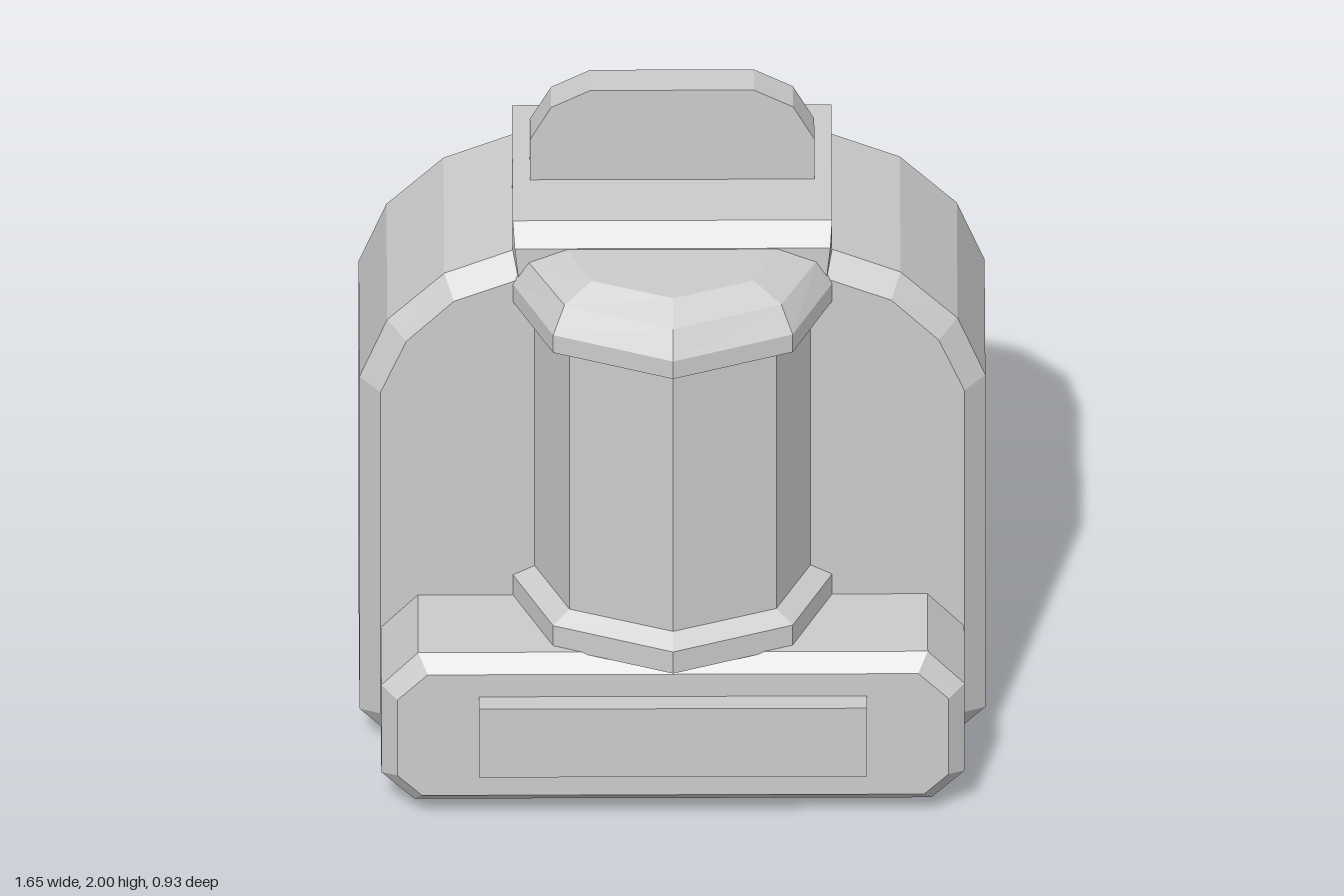
import * as THREE from 'three';

const material = new THREE.MeshStandardMaterial({ color: 0xcccccc, flatShading: true });

function add(group, name, geometry) {
  const mesh = new THREE.Mesh(geometry, material);
  mesh.name = name;
  group.add(mesh);
  return mesh;
}

// Right half of an outline, bottom to top, mirrored into a closed loop
function mirror(half) {
  return [...half, ...half.map(([x, y]) => [-x, y]).reverse()];
}

// Joins counter-clockwise cross-sections [z, points] along z and caps both ends
function loft(sections) {
  const pos = [];
  const put = (z, p) => pos.push(p[0], p[1], z);
  for (let s = 0; s < sections.length - 1; s++) {
    const [z0, a] = sections[s];
    const [z1, b] = sections[s + 1];
    for (let i = 0; i < a.length; i++) {
      const j = (i + 1) % a.length;
      put(z0, a[i]); put(z0, a[j]); put(z1, b[j]);
      put(z0, a[i]); put(z1, b[j]); put(z1, b[i]);
    }
  }
  const cap = ([z, pts], flip) => {
    const contour = pts.map(([x, y]) => new THREE.Vector2(x, y));
    for (const [a, b, c] of THREE.ShapeUtils.triangulateShape(contour, [])) {
      for (const k of flip ? [a, c, b] : [a, b, c]) put(z, pts[k]);
    }
  };
  cap(sections[0], true);
  cap(sections[sections.length - 1], false);
  const geometry = new THREE.BufferGeometry();
  geometry.setAttribute('position', new THREE.Float32BufferAttribute(pos, 3));
  geometry.computeVertexNormals();
  return geometry;
}

// Faceted half-round section: side x, then corner and nose points towards the front
function halfRound(side, cornerX, cornerZ, noseZ) {
  const back = -0.105;
  return [[-side, back], [-cornerX, -cornerZ], [0, -noseZ], [cornerX, -cornerZ], [side, back]];
}

export function createModel() {
  const group = new THREE.Group();

  // Main body with raised collar and bevelled front
  const bodyOuter = mirror([[0.70, 0], [0.823, 0.125], [0.823, 1.205], [0.75, 1.39],
    [0.60, 1.54], [0.42, 1.615], [0.42, 1.71]]);
  const bodyInner = mirror([[0.68, 0.06], [0.768, 0.15], [0.768, 1.195], [0.70, 1.36],
    [0.575, 1.49], [0.405, 1.56], [0.415, 1.66]]);
  add(group, 'body', loft([[-0.463, bodyOuter], [0.053, bodyOuter], [0.11, bodyInner]]));

  // Lower front pocket
  const pocketOuter = mirror([[0.68, 0.06], [0.767, 0.147], [0.767, 0.43], [0.67, 0.535]]);
  const pocketInner = mirror([[0.66, 0.10], [0.725, 0.165], [0.725, 0.41], [0.645, 0.492]]);
  add(group, 'pocket', loft([[0.10, pocketOuter], [0.367, pocketOuter], [0.408, pocketInner]]));

  // Flat panel on the pocket
  add(group, 'pocketPanel', new THREE.BoxGeometry(1.02, 0.222, 0.08)).position.set(0, 0.309, 0.423);

  // Central faceted canister: base ring, column and rounded lid
  const wide = halfRound(0.422, 0.315, 0.338, 0.457);
  const narrow = halfRound(0.365, 0.272, 0.305, 0.406);
  const shoulder = halfRound(0.38, 0.285, 0.30, 0.41);
  const crown = halfRound(0.28, 0.213, 0.25, 0.328);
  const upright = (sections) => loft(sections).rotateX(-Math.PI / 2);
  add(group, 'canisterBase', upright([[0.53, wide], [0.60, wide], [0.63, narrow]]));
  add(group, 'canisterColumn', upright([[0.60, narrow], [1.48, narrow]]));
  add(group, 'canisterLid', upright([[1.468, narrow], [1.488, wide], [1.545, wide],
    [1.615, shoulder], [1.657, crown]]));

  // Top grip
  const grip = mirror([[0.374, 1.70], [0.374, 1.84], [0.318, 1.945], [0.215, 2.0]]);
  add(group, 'topGrip', loft([[-0.222, grip], [-0.13, grip]]));

  return group;
}
